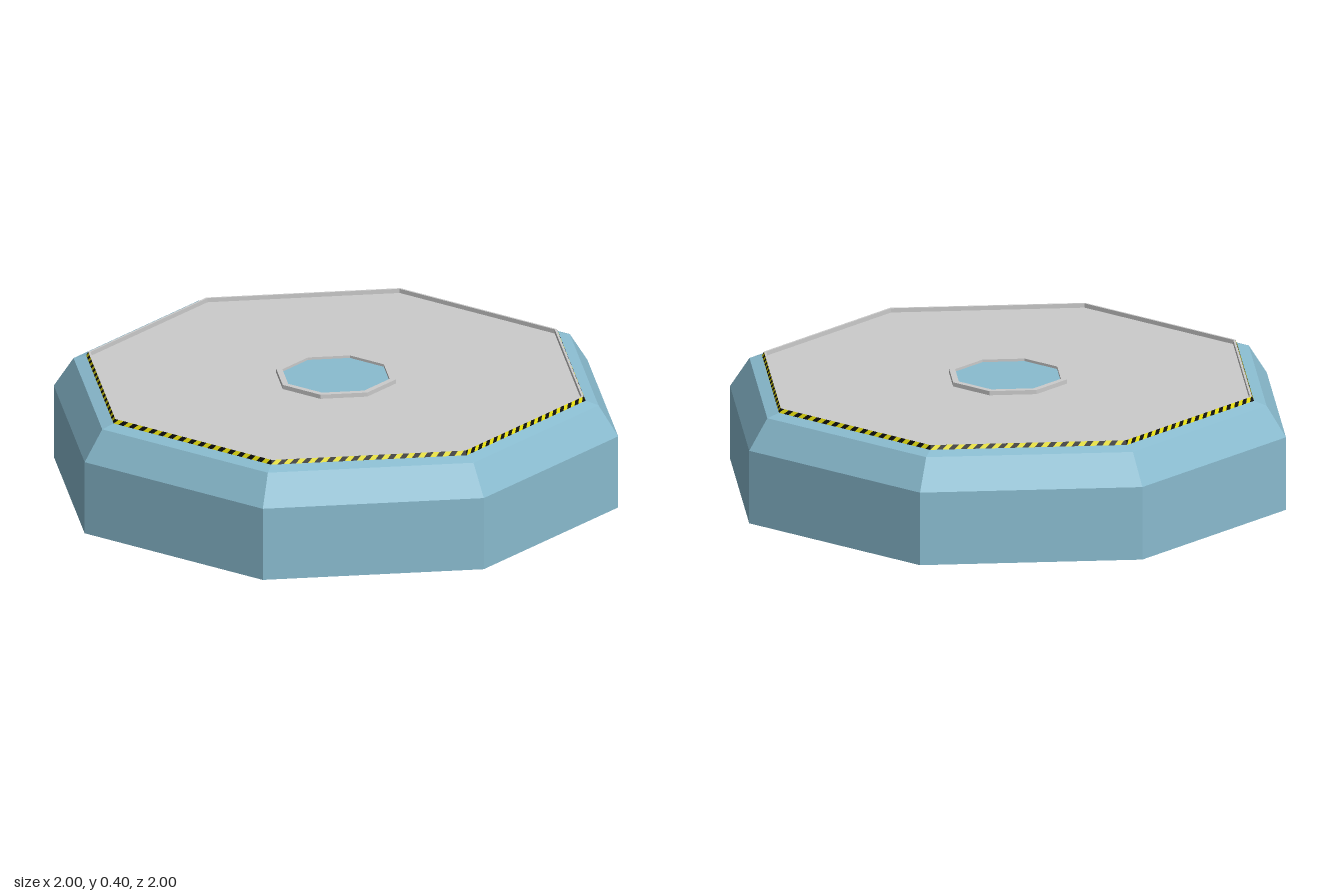
import * as THREE from 'three';
import { mergeGeometries } from 'three/addons/utils/BufferGeometryUtils.js';

const SIDES = 8;

function paint(name, color) {
  const m = new THREE.MeshStandardMaterial({ color, side: THREE.DoubleSide });
  m.name = name;
  return m;
}

// Faceted octagonal surface from a [radius, height] profile, corners on the axes
function octagon(name, material, profile) {
  const points = profile.map(([r, y]) => new THREE.Vector2(r, y));
  const geo = new THREE.LatheGeometry(points, SIDES).toNonIndexed();
  geo.computeVertexNormals();
  const mesh = new THREE.Mesh(geo, material);
  mesh.name = name;
  return mesh;
}

// One slanted stripe between fractions a and b of a side
function stripe(side, a, b, slant, bottom, top) {
  const corner = (i, [r, y]) => {
    const t = (i / SIDES) * Math.PI * 2;
    return new THREE.Vector3(r * Math.sin(t), y, r * Math.cos(t));
  };
  const at = (f, ring) =>
    corner(side, ring).lerp(corner(side + 1, ring), THREE.MathUtils.clamp(f, 0, 1));
  const p = at(a, bottom), q = at(b, bottom);
  const s = at(b + slant, top), t = at(a + slant, top);
  const geo = new THREE.BufferGeometry().setFromPoints([p, q, s, p, s, t]);
  geo.computeVertexNormals();
  return geo;
}

export function createModel() {
  const blue = paint('pale blue', 0x8abcd0);
  const grey = paint('light grey', 0xcccccc);
  const yellow = paint('warning yellow', 0xe8e010);
  const black = paint('warning black', 0x0c0c0c);

  const model = new THREE.Group();
  model.name = 'landingPlatform';

  // Open-bottomed shell with a bevelled shoulder
  model.add(octagon('outerShell', blue, [[1, 0], [1, 0.26], [0.93, 0.367], [0.885, 0.38]]));

  // Recessed deck and its raised lip
  model.add(octagon('deck', grey, [[0.87, 0.38], [0.212, 0.38]]));
  model.add(octagon('deckLip', grey, [[0.878, 0.395], [0.87, 0.395], [0.87, 0.38]]));

  // Hazard stripes around the outside of the lip
  const band = new THREE.Group();
  band.name = 'hazardBand';
  const pairs = 16, step = 1 / (pairs * 2);
  const parts = [[], []];
  for (let side = 0; side < SIDES; side++) {
    for (let k = -1; k < pairs * 2; k++) {
      parts[(k + 2) % 2].push(
        stripe(side, k * step, (k + 1) * step, step * 0.7, [0.885, 0.38], [0.878, 0.395]));
    }
  }
  [['yellowStripes', yellow], ['blackStripes', black]].forEach(([name, material], i) => {
    const mesh = new THREE.Mesh(mergeGeometries(parts[i]), material);
    mesh.name = name;
    band.add(mesh);
  });
  model.add(band);

  // Central hollow column, rim and cap
  model.add(octagon('hubColumn', blue, [[0.212, 0], [0.212, 0.38]]));
  model.add(octagon('hubRim', grey, [[0.212, 0.38], [0.212, 0.395], [0.19, 0.395], [0.19, 0.386]]));
  model.add(octagon('hubCap', blue, [[0.19, 0.386], [0, 0.386]]));

  return model;
}
